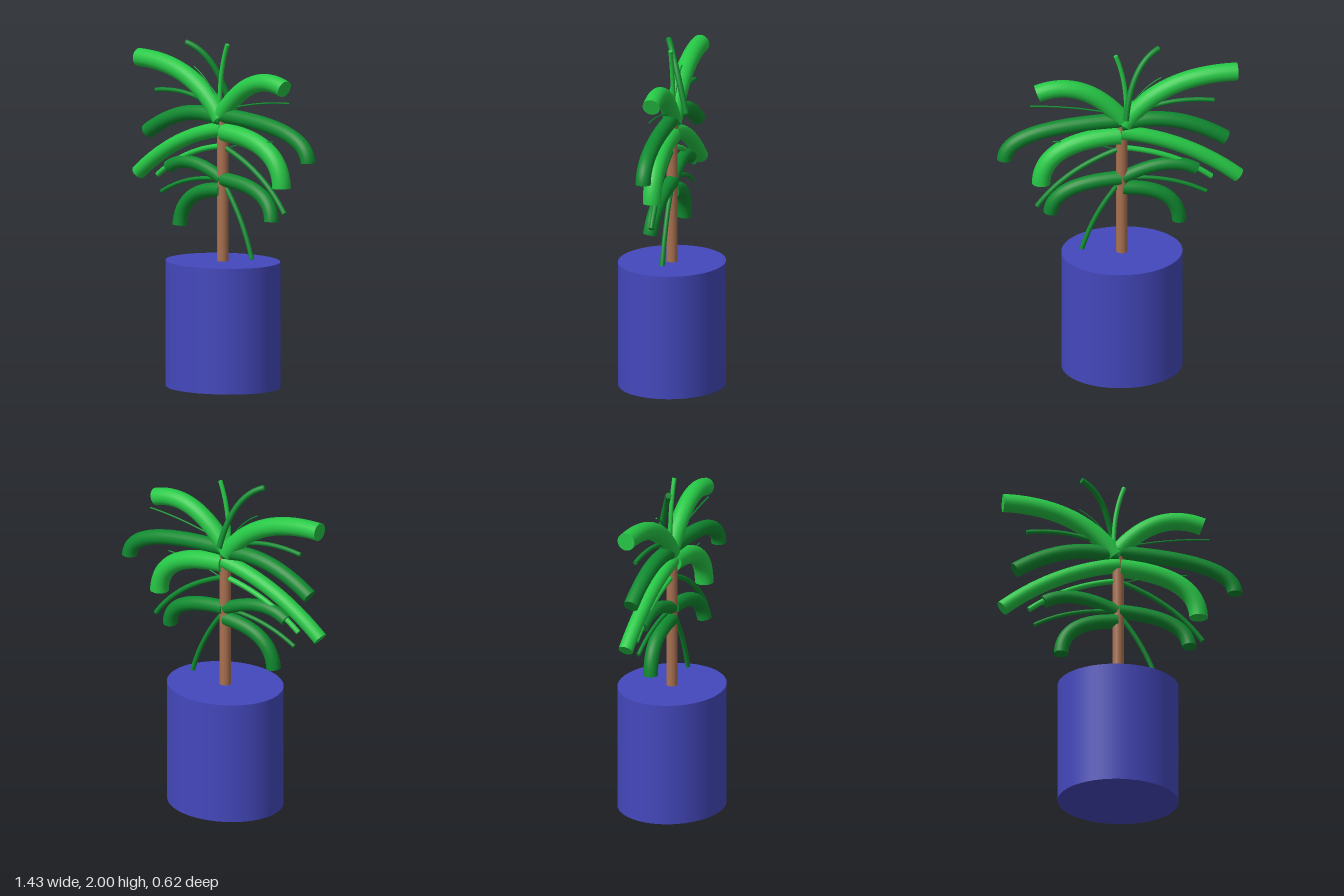
import * as THREE from 'three';

const mat = (name, color) => {
  const m = new THREE.MeshStandardMaterial({ color });
  m.name = name;
  return m;
};
const point = ([x, y, z = 0]) => new THREE.Vector3(x, y, z);

// A round frond arching from base to tip, with flat caps at both ends
function frond(name, material, radius, base, bend, tip) {
  const group = new THREE.Group();
  group.name = name;
  const curve = new THREE.QuadraticBezierCurve3(point(base), point(bend), point(tip));
  const stem = new THREE.Mesh(new THREE.TubeGeometry(curve, 32, radius, 20), material);
  stem.name = name + 'Stem';
  group.add(stem);
  for (const end of [0, 1]) {
    const cap = new THREE.Mesh(new THREE.CircleGeometry(radius, 20), material);
    const outward = curve.getTangent(end).multiplyScalar(end ? 1 : -1);
    cap.quaternion.setFromUnitVectors(new THREE.Vector3(0, 0, 1), outward);
    cap.position.copy(curve.getPoint(end));
    cap.name = name + (end ? 'Tip' : 'Base');
    group.add(cap);
  }
  return group;
}

// Each frond: name, radius, base, bend, tip
const lightFronds = [
  ['topFrondLong', 0.053, [-0.03, 1.55], [-0.243, 1.852], [-0.685, 1.846]],
  ['topFrondShort', 0.051, [-0.02, 1.58], [0.21, 1.87], [0.475, 1.775]],
  ['middleFrondCurled', 0.054, [-0.005, 1.478], [0.445, 1.46], [0.452, 1.197]],
  ['middleFrondLong', 0.043, [-0.01, 1.495], [-0.376, 1.44], [-0.69, 1.178]],
  ['thinMiddleFrond', 0.016, [-0.03, 1.395], [-0.318, 1.352], [-0.535, 1.18]],
  ['topSprigUpright', 0.013, [-0.04, 1.58], [-0.05, 1.815], [0.02, 1.99]],
];
const darkFronds = [
  ['crownFrondShort', 0.044, [-0.01, 1.55], [-0.308, 1.63], [-0.615, 1.425]],
  ['crownFrondLong', 0.044, [-0.01, 1.575], [0.655, 1.565], [0.664, 1.365]],
  ['lowerFrondCurled', 0.042, [-0.01, 1.203], [0.38, 1.19], [0.394, 0.997, 0.026]],
  ['lowerFrondDrooping', 0.042, [-0.02, 1.14], [-0.34, 1.13], [-0.35, 0.907, 0.012]],
  ['lowerFrondRaised', 0.037, [-0.02, 1.204], [-0.287, 1.335], [-0.447, 1.235]],
  ['thinLowerFrond', 0.012, [-0.03, 1.2], [-0.293, 1.207], [-0.505, 1.085]],
  ['thinCrownFrond', 0.013, [-0.04, 1.59], [-0.265, 1.714], [-0.55, 1.67]],
  ['thinHangingFrond', 0.015, [0, 1.39], [0.31, 1.28], [0.475, 1.05]],
  ['bottomFrond', 0.014, [-0.01, 1.18], [0.148, 0.99], [0.215, 0.76]],
  ['topSprigTwisted', 0.017, [-0.03, 1.61, -0.08], [-0.07, 1.93], [-0.24, 1.985, 0.075]],
  ['fineSprigTop', 0.004, [-0.03, 1.6], [-0.12, 1.77], [-0.245, 1.835]],
  ['fineSprigCrown', 0.005, [0, 1.61], [0.27, 1.685], [0.515, 1.695]],
  ['fineSprigMiddle', 0.004, [0, 1.38], [0.2, 1.455], [0.385, 1.458]],
];

export function createModel() {
  const model = new THREE.Group();
  model.name = 'pottedPalm';
  const centerX = -0.016;

  // Slightly oval pot
  const pot = new THREE.Mesh(new THREE.CylinderGeometry(1, 1, 0.73, 64), mat('potBlue', 0x4448bc));
  pot.scale.set(0.349, 1, 0.308);
  pot.position.set(centerX, 0.365, 0);
  pot.name = 'pot';
  model.add(pot);

  // Trunk
  const trunk = new THREE.Mesh(new THREE.CylinderGeometry(0.033, 0.033, 0.84, 32), mat('trunkBrown', 0xa87050));
  trunk.position.set(centerX, 1.14, 0);
  trunk.name = 'trunk';
  model.add(trunk);

  // Fronds
  const light = mat('lightGreen', 0x26c846);
  const dark = mat('darkGreen', 0x108a30);
  for (const [name, ...shape] of lightFronds) model.add(frond(name, light, ...shape));
  for (const [name, ...shape] of darkFronds) model.add(frond(name, dark, ...shape));
  return model;
}
